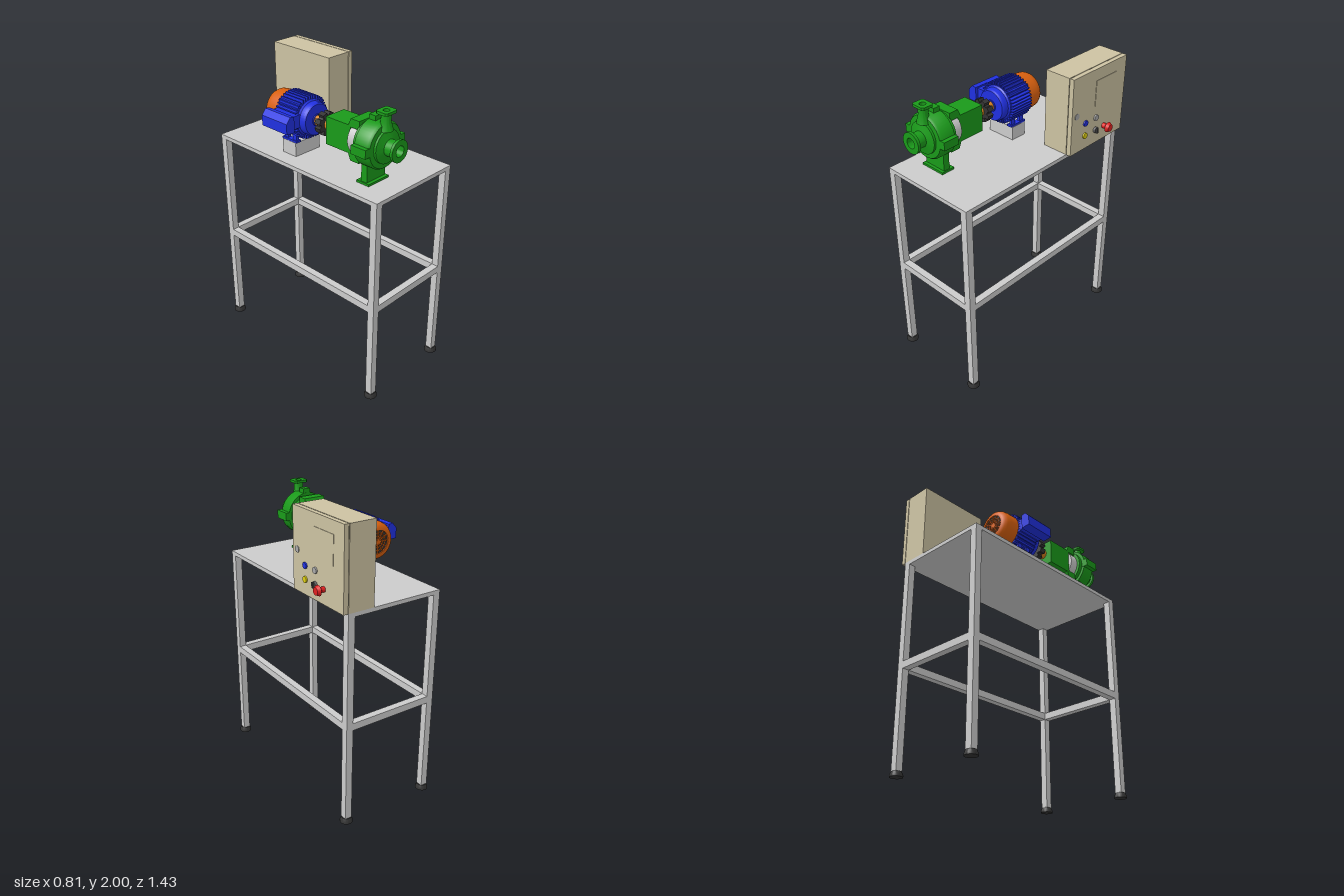
import * as THREE from 'three';
import { toCreasedNormals } from 'three/addons/utils/BufferGeometryUtils.js';

const GREY = 0xcccccc, GREEN = 0x1a9a1a, BLUE = 0x2030e0, ORANGE = 0xd8600f,
  BRASS = 0xd9821e, BEIGE = 0xccc2a2, DARK = 0x333333, RED = 0xe02020;
const materials = {};
const mat = (color) => (materials[color] ??= new THREE.MeshStandardMaterial({ color }));

function add(parent, name, geo, color = GREY) {
  const mesh = new THREE.Mesh(geo, mat(color));
  mesh.name = name;
  parent.add(mesh);
  return mesh;
}

// box given by its low and high limits on each axis
function box(parent, name, [x0, x1], [y0, y1], [z0, z1], color) {
  const geo = new THREE.BoxGeometry(x1 - x0, y1 - y0, z1 - z0);
  geo.translate((x0 + x1) / 2, (y0 + y1) / 2, (z0 + z1) / 2);
  return add(parent, name, geo, color);
}

// turned part about the z axis; profile is [radius, z] with z rising on the outside
function turned(parent, name, profile, color, segments = 40) {
  const geo = new THREE.LatheGeometry(profile.map(([r, z]) => new THREE.Vector2(r, z)), segments);
  return add(parent, name, toCreasedNormals(geo.rotateX(Math.PI / 2), 0.6), color);
}
const disc = (parent, name, r, z0, z1, color, segments) =>
  turned(parent, name, [[0, z0], [r, z0], [r, z1], [0, z1]], color, segments);

function createTable() {
  const g = new THREE.Group();
  g.name = 'table';
  const X = [-0.383, 0.309], Z = 0.699, w = 0.048, rail = [0.688, 0.737];
  box(g, 'tableTop', X, [1.445, 1.472], [-Z, Z]);
  for (const x of [X[0], X[1] - w]) {
    for (const z of [-Z, Z - w]) {
      box(g, 'leg', [x, x + w], [0.025, 1.445], [z, z + w]);
      const foot = new THREE.LatheGeometry([[0, 0], [0.042, 0], [0.042, 0.012], [0.032, 0.035], [0, 0.035]]
        .map((p) => new THREE.Vector2(...p)), 28);
      add(g, 'foot', toCreasedNormals(foot, 0.6), DARK).position.set(x + w / 2, 0, z + w / 2);
    }
    box(g, 'sideRail', [x, x + w], rail, [-Z + w, Z - w]);
  }
  for (const z of [-Z, Z - w]) box(g, 'endRail', [X[0] + w, X[1] - w], rail, [z, z + w]);
  return g;
}

function createCabinet() {
  const g = new THREE.Group();
  g.name = 'controlCabinet';
  box(g, 'cabinetBody', [0.125, 0.308], [1.472, 2], [-0.699, -0.177], BEIGE);
  box(g, 'doorSeal', [0.306, 0.315], [1.477, 1.995], [-0.694, -0.182], DARK);
  box(g, 'door', [0.313, 0.344], [1.472, 2], [-0.699, -0.177], BEIGE);
  box(g, 'doorPanel', [0.343, 0.347], [1.735, 1.92], [-0.6, -0.4], BEIGE);
  // knobs turned about x: [radius, length, y, z, colour]
  const knob = (name, r0, r1, x0, x1, y, z, color) =>
    add(g, name, new THREE.CylinderGeometry(r1, r0, x1 - x0, 24).rotateZ(-Math.PI / 2), color)
      .position.set((x0 + x1) / 2, y, z);
  for (const [r, end, y, z, color] of [
    [0.021, 0.348, 1.737, -0.224, 0xaaaaaa], [0.02, 0.354, 1.659, -0.311, BLUE],
    [0.02, 0.354, 1.659, -0.417, 0xaaaaaa], [0.02, 0.354, 1.571, -0.311, 0xe0d010],
    [0.02, 0.36, 1.571, -0.417, 0x666666]]) knob('button', r, r, 0.34, end, y, z, color);
  box(g, 'selectorHandle', [0.36, 0.37], [1.553, 1.589], [-0.423, -0.411], 0x444444);
  knob('stopStem', 0.018, 0.018, 0.34, 0.375, 1.569, -0.504, RED);
  knob('stopSkirt', 0.018, 0.034, 0.37, 0.382, 1.569, -0.504, RED);
  knob('stopHead', 0.034, 0.024, 0.382, 0.404, 1.569, -0.504, RED);
  return g;
}

// pump built about its own shaft axis (local z)
function createPump() {
  const g = new THREE.Group();
  g.name = 'pump';
  // casing with hollow suction nozzle
  turned(g, 'casing', [
    [0, 0.43], [0.126, 0.43], [0.126, 0.46], [0.148, 0.46], [0.148, 0.555], [0.138, 0.57], [0.105, 0.572],
    [0.105, 0.587], [0.07, 0.596], [0.052, 0.602], [0.052, 0.66], [0.07, 0.66], [0.07, 0.678],
    [0.034, 0.678], [0.034, 0.6], [0, 0.6]], GREEN, 48);
  disc(g, 'impellerEye', 0.026, 0.59, 0.625, GREY, 24);
  disc(g, 'shaftNut', 0.012, 0.62, 0.64, 0xeeeeee, 6);
  // casing lugs
  for (const s of [-1, 1]) {
    box(g, 'sideLug', s < 0 ? [-0.174, -0.13] : [0.13, 0.174], [-0.028, 0.028], [0.457, 0.57], GREEN);
  }
  box(g, 'topLug', [-0.027, 0.027], [0.12, 0.176], [0.463, 0.512], GREEN);
  // discharge nozzle with square bored flange
  const pipe = [[0.046, 0.1], [0.031, 0.155], [0.031, 0.205], [0.02, 0.218], [0.02, 0.12], [0, 0.12]];
  const nozzle = add(g, 'dischargeNozzle', toCreasedNormals(new THREE.LatheGeometry(
    pipe.map((p) => new THREE.Vector2(...p)), 28), 0.6), GREEN);
  nozzle.position.z = 0.567;
  const a = 0.05, b = 0.043, c = 0.012;
  const plate = new THREE.Shape([[-a, -b + c], [-a + c, -b], [a - c, -b], [a, -b + c],
    [a, b - c], [a - c, b], [-a + c, b], [-a, b - c]].map((p) => new THREE.Vector2(...p)));
  plate.holes.push(new THREE.Path().absarc(0, 0, 0.02, 0, Math.PI * 2, true));
  const flange = new THREE.ExtrudeGeometry(plate, { depth: 0.017, bevelEnabled: false, curveSegments: 12 });
  add(g, 'dischargeFlange', flange.rotateX(-Math.PI / 2), GREEN).position.set(0, 0.203, 0.567);
  // foot
  box(g, 'footWeb', [-0.082, 0.082], [-0.236, -0.1], [0.46, 0.505], GREEN);
  box(g, 'footBase', [-0.09, 0.09], [-0.248, -0.234], [0.43, 0.527], GREEN);
  // seal chamber, yoke arms and bearing housing
  disc(g, 'sealCover', 0.104, 0.365, 0.432, GREY);
  for (const s of [-1, 1]) {
    const arm = new THREE.Shape([[0.435, 0.08], [0.435, 0.134], [0.367, 0.134], [0.35, 0.094], [0.35, 0.08]]
      .map(([z, y]) => new THREE.Vector2(-z, s * y)));
    add(g, 'yokeArm', new THREE.ExtrudeGeometry(arm, { depth: 0.156, bevelEnabled: false })
      .translate(0, 0, -0.078).rotateY(Math.PI / 2), GREEN);
  }
  box(g, 'bearingHousing', [-0.078, 0.078], [-0.09, 0.09], [0.166, 0.368], GREEN);
  return g;
}

function createCoupling() {
  const g = new THREE.Group();
  g.name = 'coupling';
  disc(g, 'shaft', 0.018, -0.02, 0.17, GREY, 24);
  disc(g, 'pumpHub', 0.034, 0.108, 0.168, BRASS, 28);
  disc(g, 'motorHub', 0.034, -0.015, 0.066, BRASS, 28);
  disc(g, 'couplingCore', 0.058, 0.068, 0.106, DARK, 32);
  for (let i = 0; i < 8; i++) {
    const lug = box(g, 'couplingLug', [-0.016, 0.016], [0.05, 0.076], [0.065, 0.11], DARK);
    lug.rotation.z = (i + 0.5) * Math.PI / 4;
  }
  return g;
}

function createMotor() {
  const g = new THREE.Group();
  g.name = 'motor';
  turned(g, 'motorBody', [[0, -0.223], [0.118, -0.223], [0.118, -0.045], [0.108, -0.035],
    [0.108, 0], [0.1, 0.012], [0.04, 0.012], [0.04, 0.02], [0, 0.02]], BLUE);
  // cooling fins, clipped to a circle
  const fins = 11, R = 0.141;
  for (let i = 0; i < fins; i++) {
    const d = -0.1 + 0.2 * i / (fins - 1), h = Math.sqrt(R * R - d * d), t = 0.004;
    box(g, 'verticalFin', [d - t, d + t], [-h, h], [-0.222, -0.045], BLUE);
    box(g, 'horizontalFin', [-h, h], [d - t, d + t], [-0.222, -0.045], BLUE);
  }
  // fan cover with grille
  turned(g, 'fanCover', [[0, -0.335], [0.075, -0.335], [0.075, -0.35], [0.092, -0.348], [0.109, -0.338],
    [0.119, -0.32], [0.123, -0.295], [0.123, -0.223], [0, -0.223]], ORANGE);
  disc(g, 'grilleBack', 0.075, -0.341, -0.334, DARK);
  for (const r of [0.018, 0.037, 0.056]) {
    add(g, 'grilleRing', new THREE.TorusGeometry(r, 0.004, 6, 32), ORANGE).position.z = -0.344;
  }
  for (let i = 0; i < 6; i++) {
    const bar = box(g, 'grilleBar', [-0.076, 0.076], [-0.003, 0.003], [-0.348, -0.34], ORANGE);
    bar.rotation.z = i * Math.PI / 6;
  }
  // terminal box on the right side
  box(g, 'terminalNeck', [-0.175, -0.08], [-0.035, 0.05], [-0.22, -0.034], BLUE);
  const cover = new THREE.Shape([[-0.232, -0.04], [-0.168, -0.045], [-0.168, 0.06], [-0.2, 0.064], [-0.232, 0.028]]
    .map((p) => new THREE.Vector2(...p)));
  add(g, 'terminalBox', new THREE.ExtrudeGeometry(cover, { depth: 0.224, bevelEnabled: false })
    .translate(0, 0, -0.239), BLUE);
  // feet and plinth
  for (const x of [-0.103, 0.063]) {
    for (const z of [-0.19, -0.115]) {
      box(g, 'motorFootWeb', [x + 0.01, x + 0.03], [-0.15, -0.08], [z, z + 0.035], BLUE);
    }
    box(g, 'motorFoot', [x, x + 0.04], [-0.155, -0.142], [-0.2, -0.07], BLUE);
  }
  box(g, 'plinth', [-0.105, 0.104], [-0.248, -0.155], [-0.195, -0.077]);
  return g;
}

export function createModel() {
  const model = new THREE.Group();
  model.name = 'pumpTestBench';
  const drive = new THREE.Group();
  drive.name = 'pumpSet';
  drive.position.set(-0.171, 1.72, 0);
  drive.add(createPump(), createCoupling(), createMotor());
  model.add(createTable(), createCabinet(), drive);
  return model;
}
